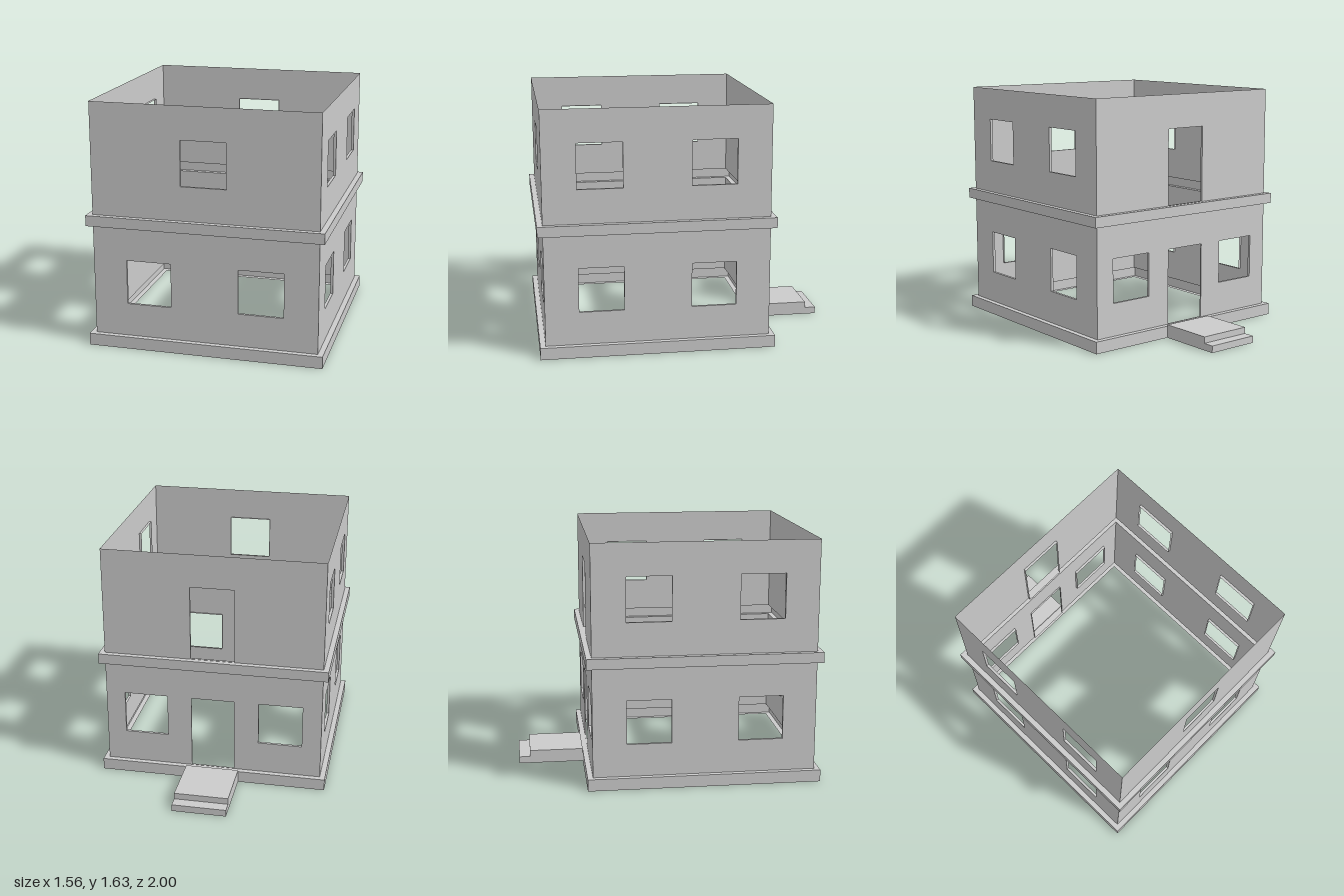
import * as THREE from 'three';

const HALF_X = 0.743, FRONT = 0.962, BACK = -0.52, LEDGE = 0.036;
const BASE_TOP = 0.08, MID_BOTTOM = 0.82, MID_TOP = 0.89, WALL_TOP = 1.63;

const material = new THREE.MeshStandardMaterial({
  color: 0xcccccc, flatShading: true, side: THREE.DoubleSide,
});

function makeMesh(name, geometry) {
  const mesh = new THREE.Mesh(geometry, material);
  mesh.name = name;
  return mesh;
}

// Skin over a rectangular plan swept through [outward offset, height] steps
function sweepRectangle(profile) {
  const corners = ([o, y]) => [
    [HALF_X + o, y, FRONT + o], [HALF_X + o, y, BACK - o],
    [-HALF_X - o, y, BACK - o], [-HALF_X - o, y, FRONT + o],
  ];
  const positions = [];
  for (let i = 0; i < profile.length - 1; i++) {
    const low = corners(profile[i]), high = corners(profile[i + 1]);
    for (let k = 0; k < 4; k++) {
      const n = (k + 1) % 4;
      positions.push(...low[k], ...low[n], ...high[n], ...low[k], ...high[n], ...high[k]);
    }
  }
  const geometry = new THREE.BufferGeometry();
  geometry.setAttribute('position', new THREE.Float32BufferAttribute(positions, 3));
  geometry.computeVertexNormals();
  return geometry;
}

// Hollow ledge, open toward the interior
const ledge = (y0, y1) => sweepRectangle([[0, y0], [LEDGE, y0], [LEDGE, y1], [0, y1]]);

function rectangle(Type, x0, x1, y0, y1) {
  return new Type([[x0, y0], [x1, y0], [x1, y1], [x0, y1]].map((p) => new THREE.Vector2(...p)));
}

// Wall sheet facing local +z, each opening [x0, x1, y0, y1, depth] with an inward reveal
function makeWall(name, x0, x1, y0, y1, openings) {
  const wall = new THREE.Group();
  wall.name = name;
  const shape = rectangle(THREE.Shape, x0, x1, y0, y1);
  for (const [a, b, c, d, depth] of openings) {
    shape.holes.push(rectangle(THREE.Path, a, b, c, d));
    const reveal = new THREE.Group();
    reveal.name = 'openingReveal';
    for (const x of [a, b]) {
      const jamb = makeMesh('jamb', new THREE.PlaneGeometry(depth, d - c));
      jamb.rotation.y = x === a ? Math.PI / 2 : -Math.PI / 2;
      jamb.position.set(x, (c + d) / 2, -depth / 2);
      reveal.add(jamb);
    }
    for (const y of [c, d]) {
      const sill = makeMesh(y === c ? 'sill' : 'lintel', new THREE.PlaneGeometry(b - a, depth));
      sill.rotation.x = y === c ? -Math.PI / 2 : Math.PI / 2;
      sill.position.set((a + b) / 2, y, -depth / 2);
      reveal.add(sill);
    }
    wall.add(reveal);
  }
  wall.add(makeMesh('wallSheet', new THREE.ShapeGeometry(shape)));
  return wall;
}

function makeStorey(name, y0, y1, sillY, headY, frontOpenings, backOpenings) {
  const storey = new THREE.Group();
  storey.name = name;

  const front = makeWall('frontWall', -HALF_X, HALF_X, y0, y1, frontOpenings);
  front.position.z = FRONT;
  const back = makeWall('backWall', -HALF_X, HALF_X, y0, y1, backOpenings);
  back.rotation.y = Math.PI;
  back.position.z = BACK;
  storey.add(front, back);

  // Side walls: two windows each, local x runs along z
  for (const side of [1, -1]) {
    const windows = [[0.445, 0.74], [-0.295, 0]].map(([z0, z1]) => (
      side > 0 ? [-z1, -z0, sillY, headY, 0.018] : [z0, z1, sillY, headY, 0.018]));
    const [a, b] = side > 0 ? [-FRONT, -BACK] : [BACK, FRONT];
    const wall = makeWall(side > 0 ? 'leftWall' : 'rightWall', a, b, y0, y1, windows);
    wall.rotation.y = side * Math.PI / 2;
    wall.position.x = side * HALF_X;
    storey.add(wall);
  }
  return storey;
}

function makeStep(name, height, z0, z1) {
  const step = makeMesh(name, new THREE.BoxGeometry(0.365, height, z1 - z0));
  step.position.set(0, height / 2, (z0 + z1) / 2);
  return step;
}

export function createModel() {
  const house = new THREE.Group();
  house.name = 'house';

  house.add(makeMesh('baseLedge', ledge(0, BASE_TOP)));
  house.add(makeMesh('middleLedge', ledge(MID_BOTTOM, MID_TOP)));

  // Ground floor: paired front windows, back door between two windows
  house.add(makeStorey('groundFloor', BASE_TOP, MID_BOTTOM, 0.3, 0.596,
    [[-0.52, -0.223, 0.3, 0.596, 0.018], [0.223, 0.52, 0.3, 0.596, 0.018]],
    [[-0.613, -0.315, 0.3, 0.596, 0.018], [-0.148, 0.148, BASE_TOP + 0.002, 0.596, 0.01],
      [0.315, 0.613, 0.3, 0.596, 0.018]]));

  // Upper floor: single front window, tall back opening
  house.add(makeStorey('upperFloor', MID_TOP, WALL_TOP, 1.115, 1.412,
    [[-0.149, 0.149, 1.115, 1.412, 0.016]],
    [[-0.149, 0.149, MID_TOP + 0.002, 1.404, 0.016]]));

  // Back entrance steps
  house.add(makeStep('porchPlatform', 0.09, -0.925, BACK - LEDGE));
  house.add(makeStep('lowerStep', 0.047, -1, -0.925));

  return house;
}
